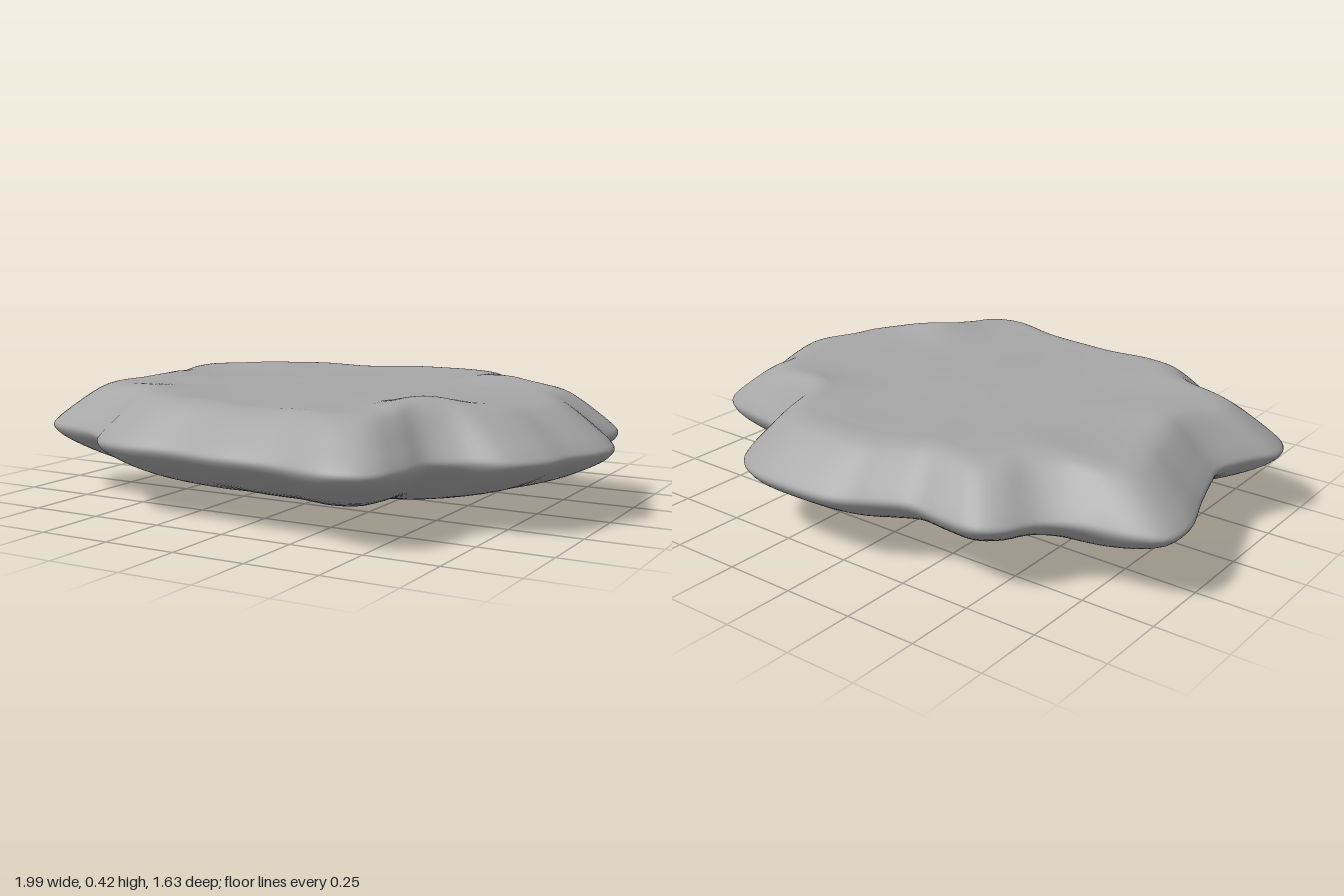
import * as THREE from 'three';

const SEGMENTS = 200;
const RINGS = 64;

// Wavy rim as [x, z], counter-clockwise seen from above
const OUTLINE = [
  [1, 0], [0.91, -0.23], [0.9, -0.37], [0.83, -0.43], [0.7, -0.46], [0.57, -0.49], [0.52, -0.55],
  [0.49, -0.67], [0.43, -0.76], [0.33, -0.81], [0.14, -0.82], [-0.02, -0.8], [-0.13, -0.74],
  [-0.24, -0.69], [-0.37, -0.7], [-0.49, -0.7], [-0.56, -0.65], [-0.62, -0.55], [-0.72, -0.49],
  [-0.9, -0.45], [-0.98, -0.4], [-0.99, -0.29], [-0.93, -0.11], [-0.88, 0.05], [-0.86, 0.14],
  [-0.91, 0.28], [-0.96, 0.37], [-0.93, 0.46], [-0.85, 0.51], [-0.69, 0.55], [-0.61, 0.6],
  [-0.53, 0.69], [-0.4, 0.73], [-0.21, 0.73], [-0.02, 0.755], [0.19, 0.765], [0.42, 0.81],
  [0.54, 0.76], [0.58, 0.64], [0.6, 0.5], [0.67, 0.44], [0.81, 0.39], [0.9, 0.29], [0.93, 0.19],
];

// Section from the bottom centre over the rim to the top centre, as [scale of outline, y]
const PROFILE = [
  [0, 0.015], [0.1, 0.005], [0.2, 0.015], [0.4, 0.038], [0.6, 0.073], [0.8, 0.125], [0.93, 0.18],
  [0.985, 0.215], [1, 0.24], [0.98, 0.265], [0.93, 0.305], [0.86, 0.355], [0.81, 0.382],
  [0.76, 0.393], [0.68, 0.393], [0.4, 0.388], [0, 0.392],
];

// Soft swellings of the top beside the notches: [x, z, height, radius]
const SWELLINGS = [
  [0.51, 0.37, 0.032, 0.13], [0.48, -0.4, 0.022, 0.12], [-0.7, 0.1, 0.015, 0.12],
  [-0.5, -0.36, 0.012, 0.14], [-0.5, 0.46, 0.01, 0.14], [0, 0.55, -0.012, 0.2],
];

function swelling(x, z) {
  let h = 0;
  for (const [cx, cz, height, r] of SWELLINGS) {
    h += height * Math.exp(-((x - cx) ** 2 + (z - cz) ** 2) / (r * r));
  }
  return h;
}

// Loft the outline along the section, with one shared vertex at each pole
function slabGeometry() {
  const rim = new THREE.CatmullRomCurve3(
    OUTLINE.map(([x, z]) => new THREE.Vector3(x, 0, z)), true).getSpacedPoints(SEGMENTS);
  const section = new THREE.CatmullRomCurve3(
    PROFILE.map(([s, y]) => new THREE.Vector3(s, y, 0))).getPoints(RINGS);
  const positions = [0, section[0].y, 0];
  for (let i = 1; i < RINGS; i++) {
    const { x: s, y } = section[i];
    const lift = i > RINGS / 2 ? THREE.MathUtils.smoothstep(y, 0.26, 0.38) : 0;
    for (let j = 0; j < SEGMENTS; j++) {
      const x = rim[j].x * s, z = rim[j].z * s;
      positions.push(x, y + lift * swelling(x, z), z);
    }
  }
  positions.push(0, section[RINGS].y, 0);

  const last = positions.length / 3 - 1;
  const at = (i, j) => (i === 0 ? 0 : i === RINGS ? last : 1 + (i - 1) * SEGMENTS + (j % SEGMENTS));
  const index = [];
  for (let i = 0; i < RINGS; i++) {
    for (let j = 0; j < SEGMENTS; j++) {
      const a = at(i, j), b = at(i, j + 1), c = at(i + 1, j + 1), d = at(i + 1, j);
      if (i > 0) index.push(a, b, c);
      if (i < RINGS - 1) index.push(a, c, d);
    }
  }
  const geometry = new THREE.BufferGeometry();
  geometry.setAttribute('position', new THREE.Float32BufferAttribute(positions, 3));
  geometry.setIndex(index);
  geometry.computeVertexNormals();
  return geometry;
}

export function createModel() {
  const group = new THREE.Group();
  group.name = 'flatStone';
  const stone = new THREE.MeshStandardMaterial({ color: 0xa6a6a6 });
  stone.name = 'stoneGrey';
  const slab = new THREE.Mesh(slabGeometry(), stone);
  slab.name = 'stoneSlab';
  group.add(slab);
  return group;
}
